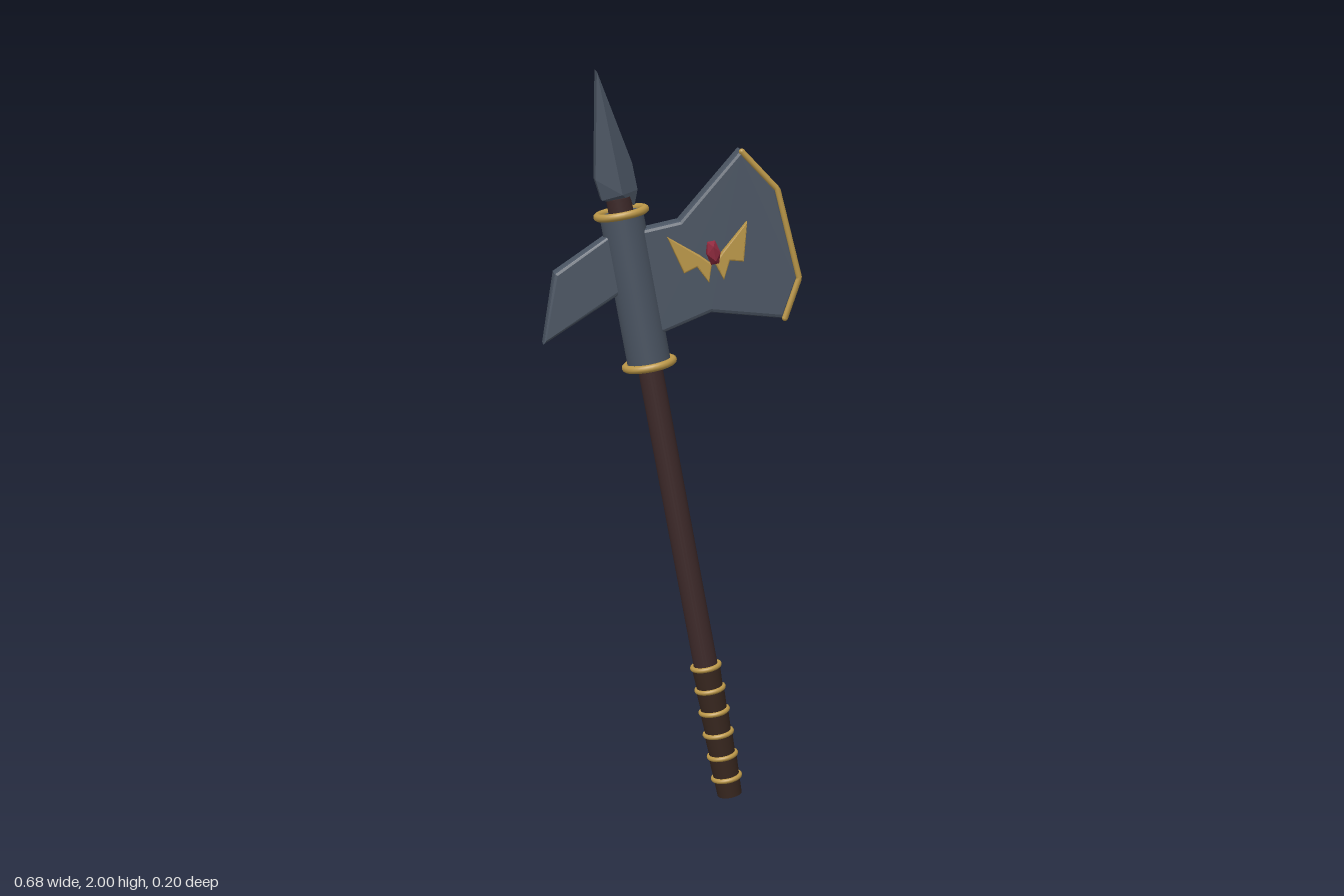
import * as THREE from 'three';
import { ConvexGeometry } from 'three/addons/geometries/ConvexGeometry.js';

const TILT = 0.18;      // lean of the shaft
const MID_Z = -0.028;   // depth of the shaft axis

function material(name, color, flatShading = false) {
  const m = new THREE.MeshStandardMaterial({ color, flatShading });
  m.name = name;
  return m;
}

export function createModel() {
  const steel = material('steel', 0x4b5563);
  const gold = material('gold', 0xbb9748);
  const wood = material('dark wood', 0x3e2a2a);
  const leather = material('grip leather', 0x38271f);
  const ruby = material('ruby', 0x8f2a3e);
  ruby.flatShading = true;

  const model = new THREE.Group();
  model.name = 'battleAxe';

  const add = (parent, name, geometry, mat, x = 0, y = 0, z = 0) => {
    const mesh = new THREE.Mesh(geometry, mat);
    mesh.name = name;
    mesh.position.set(x, y, z);
    parent.add(mesh);
    return mesh;
  };

  // Bevelled plate centred on z = 0; the bevel stays inside the outline
  const plate = (points, depth, bevel) => {
    const shape = new THREE.Shape(points.map(([x, y]) => new THREE.Vector2(x, y)));
    const g = new THREE.ExtrudeGeometry(shape, {
      depth: depth - 2 * bevel, bevelEnabled: true, bevelThickness: bevel,
      bevelSize: bevel, bevelOffset: -bevel, bevelSegments: 2,
    });
    return g.translate(0, 0, -depth / 2 + bevel);
  };

  // Shaft assembly, leaning to the right side
  const shaft = new THREE.Group();
  shaft.name = 'shaft';
  shaft.position.set(0.16, 0.0065, MID_Z);
  shaft.rotation.z = TILT;
  model.add(shaft);

  add(shaft, 'handle', new THREE.CylinderGeometry(0.033, 0.033, 1.69, 24), wood, 0, 0.845);
  add(shaft, 'sleeve', new THREE.CylinderGeometry(0.058, 0.058, 0.41, 32), steel, 0, 1.445);

  const ring = (name, y, radius, tube) => {
    const mesh = add(shaft, name, new THREE.TorusGeometry(radius, tube, 10, 32), gold, 0, y);
    mesh.rotation.x = Math.PI / 2;
  };
  ring('lowerCollar', 1.24, 0.064, 0.0105);
  ring('upperCollar', 1.65, 0.064, 0.0105);

  // Grip of short wrapped sections, each capped by a ring
  add(shaft, 'pommel', new THREE.CylinderGeometry(0.036, 0.034, 0.052, 24), leather, 0, 0.026);
  for (let i = 0; i < 6; i++) {
    const y = 0.052 + i * 0.0655;
    ring('gripRing', y, 0.037, 0.007);
    if (i < 5) add(shaft, 'gripWrap', new THREE.CylinderGeometry(0.039, 0.036, 0.0655, 24), leather, 0, y + 0.03275);
  }

  // Axe blade and rear fluke
  add(model, 'blade', plate([
    [-0.1, 1.585], [0.015, 1.61], [0.175, 1.795], [0.272, 1.69],
    [0.334, 1.455], [0.295, 1.345], [0.1, 1.365], [-0.06, 1.3],
  ], 0.066, 0.01), steel, 0, 0, MID_Z);
  add(model, 'rearFluke', plate([
    [-0.12, 1.61], [-0.315, 1.477], [-0.345, 1.288], [-0.1, 1.445],
  ], 0.062, 0.01), steel, 0, 0, MID_Z);

  // Top spike with a chisel edge leaning to one side
  const spike = new ConvexGeometry([
    [-0.2, 2.0, 0.033], [-0.2, 2.0, -0.033],
    [-0.205, 1.72, 0.031], [-0.205, 1.72, -0.031],
    [-0.188, 1.665, 0.024], [-0.188, 1.665, -0.024],
    [-0.135, 1.68, 0.033], [-0.135, 1.68, -0.033],
    [-0.106, 1.76, 0], [-0.092, 1.69, 0], [-0.1, 1.65, 0],
  ].map((p) => new THREE.Vector3(...p)));
  add(model, 'topSpike', spike, steel, 0, 0, MID_Z);

  // Gold trim along the cutting edge
  const edge = [[0.177, 1.79], [0.272, 1.69], [0.332, 1.455], [0.295, 1.348]]
    .map(([x, y]) => new THREE.Vector3(x, y, 0.012));
  const trimPath = new THREE.CurvePath();
  for (let i = 0; i < edge.length - 1; i++) trimPath.add(new THREE.LineCurve3(edge[i], edge[i + 1]));
  add(model, 'edgeTrim', new THREE.TubeGeometry(trimPath, 60, 0.008, 10), gold);
  for (const end of [edge[0], edge[3]]) {
    add(model, 'trimEnd', new THREE.SphereGeometry(0.008, 10, 8), gold, end.x, end.y, end.z);
  }

  // Winged ornament with a floating gem
  const ornament = new THREE.Group();
  ornament.name = 'ornament';
  ornament.position.set(0.094, 1.535, 0);
  ornament.rotation.z = TILT;
  model.add(ornament);
  const wing = [[0.004, -0.035], [0.03, -0.008], [0.107, 0.057], [0.08, -0.046], [0.044, -0.036], [0.02, -0.083]];
  for (const side of [1, -1]) {
    const outline = wing.map(([x, y]) => [x * side, y]);
    add(ornament, side > 0 ? 'leftWing' : 'rightWing', plate(outline, 0.022, 0.004), gold, 0, 0, 0.026);
  }
  const gem = add(ornament, 'gem', new THREE.IcosahedronGeometry(1, 0), ruby, 0, 0, 0.07);
  gem.scale.set(0.02, 0.036, 0.034);

  return model;
}
